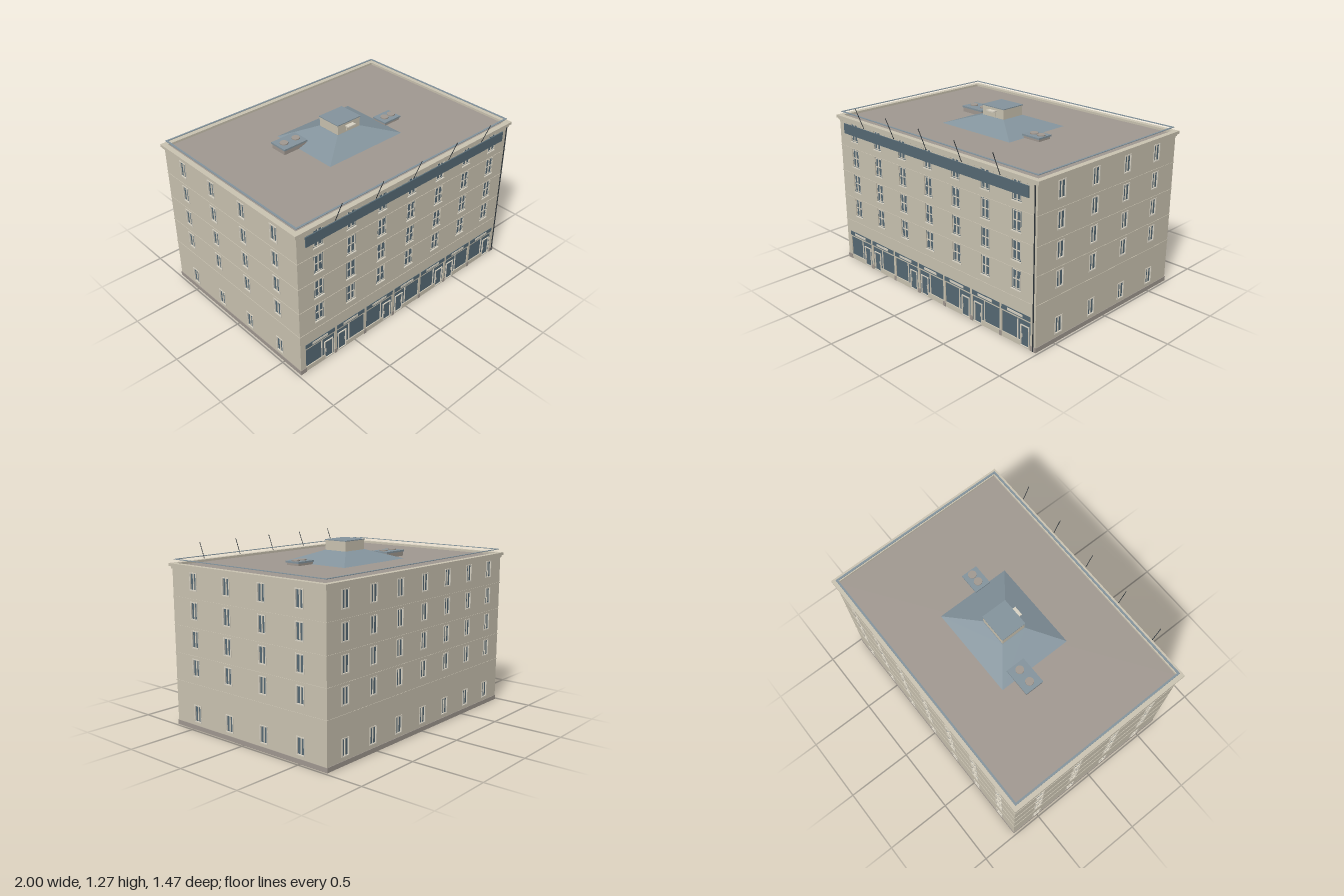
import * as THREE from 'three';

const mat = (name, color, side = THREE.FrontSide) => {
  const m = new THREE.MeshStandardMaterial({ color, side });
  m.name = name;
  return m;
};

export function createModel() {
  const stone = mat('stone', 0xcbc4b2);
  const trim = mat('window trim', 0xd9d3c4);
  const glass = mat('glass', 0x566a75);
  const slate = mat('roof metal', 0x84949d);
  const base = mat('roof and plinth', 0xa19991);
  const dark = mat('dark metal', 0x30373c);

  const model = new THREE.Group();
  model.name = 'building';

  // Box given by its extents on each axis
  const box = (parent, name, m, x0, x1, y0, y1, z0, z1) => {
    const mesh = new THREE.Mesh(new THREE.BoxGeometry(x1 - x0, y1 - y0, z1 - z0), m);
    mesh.position.set((x0 + x1) / 2, (y0 + y1) / 2, (z0 + z1) / 2);
    mesh.name = name;
    parent.add(mesh);
    return mesh;
  };

  const X = 0.98, FRONT = 0.667, BACK = -0.72, MIDZ = (FRONT + BACK) / 2;
  const DEPTH = FRONT - BACK, TOP = 1.12, THICK = 0.012;

  const rectPath = (P, x0, x1, y0, y1) => {
    const p = new P();
    p.moveTo(x0, y0).lineTo(x1, y0).lineTo(x1, y1).lineTo(x0, y1).closePath();
    return p;
  };

  // Thin wall with openings; the outer face lies at local z = 0
  const makeWall = (name, width, holes) => {
    const g = new THREE.Group();
    g.name = name;
    const shape = rectPath(THREE.Shape, -width / 2, width / 2, 0, TOP);
    holes.forEach(h => shape.holes.push(rectPath(THREE.Path, ...h)));
    const geo = new THREE.ExtrudeGeometry(shape, { depth: THICK, bevelEnabled: false });
    geo.translate(0, 0, -THICK);
    const mesh = new THREE.Mesh(geo, stone);
    mesh.name = name + 'Panel';
    g.add(mesh);
    model.add(g);
    return g;
  };

  // Raised border around an opening
  const border = (g, name, m, x0, x1, y0, y1, t, z0, z1) => {
    box(g, name, m, x0, x0 + t, y0, y1, z0, z1);
    box(g, name, m, x1 - t, x1, y0, y1, z0, z1);
    box(g, name, m, x0 + t, x1 - t, y0, y0 + t, z0, z1);
    box(g, name, m, x0 + t, x1 - t, y1 - t, y1, z0, z1);
  };

  const addWindow = (g, [x0, x1, y0, y1], isFront) => {
    const cx = (x0 + x1) / 2;
    box(g, 'windowGlass', glass, x0, x1, y0, y1, -0.011, -0.006);
    box(g, 'windowMullion', trim, cx - 0.004, cx + 0.004, y0, y1, -0.006, -0.001);
    if (isFront) {
      const cy = y0 + (y1 - y0) * 0.5;
      box(g, 'windowTransom', trim, x0 + 0.008, x1 - 0.008, cy - 0.003, cy + 0.003, -0.006, -0.002);
      border(g, 'windowSash', trim, x0 + 0.007, x1 - 0.007, y0 + 0.007, y1 - 0.007, 0.003, -0.006, -0.002);
      box(g, 'windowSill', trim, x0 - 0.004, x1 + 0.004, y0 - 0.006, y0, -0.01, 0.005);
    } else {
      border(g, 'windowSurround', trim, x0 - 0.006, x1 + 0.006, y0 - 0.006, y1 + 0.006, 0.007, -0.006, 0.004);
    }
  };

  const addCourses = (g, width) => [0.32, 0.517, 0.711, 0.908].forEach(y =>
    box(g, 'stringCourse', stone, -width / 2 - 0.003, width / 2 + 0.003, y, y + 0.006, 0, 0.003));

  const columns = [-3, -2, -1, 0, 1, 2, 3].map(i => i * 0.2705);
  const sideColumns = [-1.5, -0.5, 0.5, 1.5].map(i => i * 0.3205);

  // Back and side walls: five rows of narrow windows
  const plainRows = [0.061, 0.385, 0.581, 0.777, 0.974];
  const plainWall = (name, width, cols) => {
    const holes = [];
    for (const y of plainRows) for (const x of cols) holes.push([x - 0.029, x + 0.029, y, y + 0.111]);
    const g = makeWall(name, width, holes);
    holes.forEach(h => addWindow(g, h, false));
    addCourses(g, width);
    box(g, 'plinth', base, -width / 2 - 0.003, width / 2 + 0.003, 0, 0.032, 0, 0.004);
    return g;
  };
  const back = plainWall('backWall', 2 * X, columns);
  back.position.z = BACK;
  back.rotation.y = Math.PI;
  for (const s of [-1, 1]) {
    const side = plainWall(s > 0 ? 'leftWall' : 'rightWall', DEPTH, sideColumns);
    side.position.set(s * X, 0, MIDZ);
    side.rotation.y = s * Math.PI / 2;
  }

  // Front wall: four rows of wide windows above seven shop bays
  const frontWindows = [], bays = [];
  for (const x of columns) {
    for (const y of [0.379, 0.574, 0.769, 0.965]) frontWindows.push([x - 0.039, x + 0.039, y, y + 0.139]);
    bays.push([x - 0.125, x + 0.125, 0.004, 0.232]);
  }
  const front = makeWall('frontWall', 2 * X, [...frontWindows, ...bays]);
  front.position.z = FRONT;
  frontWindows.forEach(h => addWindow(front, h, true));
  addCourses(front, 2 * X);

  bays.forEach(([x0, x1, , y1], i) => {
    const shop = new THREE.Group();
    shop.name = 'shopfront';
    front.add(shop);
    const cx = (x0 + x1) / 2, s = i % 2 ? -1 : 1;
    box(shop, 'shopGlass', glass, x0, x1, 0.004, y1, -0.011, -0.007);
    // Fascia with a blank sign plate
    box(shop, 'fascia', glass, x0, x1, 0.2, y1, -0.007, 0.003);
    box(shop, 'signPlate', trim, cx - 0.07, cx + 0.062, 0.208, 0.225, 0.003, 0.006);
    box(shop, 'fasciaRail', stone, x0, x1, 0.19, 0.2, -0.007, 0.002);
    // Stall riser, mullions and framed door
    const a = s > 0 ? x0 : x0 + 0.085, b = s > 0 ? x1 - 0.085 : x1;
    box(shop, 'stallRiser', stone, a, b, 0, 0.036, -0.007, 0);
    const m = cx + s * 0.015;
    box(shop, 'shopMullion', trim, m - 0.003, m + 0.003, 0.036, 0.19, -0.007, -0.001);
    const d = cx + s * 0.075;
    border(shop, 'doorFrame', trim, d - 0.037, d + 0.037, 0.002, 0.152, 0.006, -0.007, 0);
    box(shop, 'doorHandle', trim, d - s * 0.026 - 0.002, d - s * 0.026 + 0.002, 0.06, 0.085, -0.007, 0.001);
  });
  // Pier bases between the bays
  for (let i = 0; i < 8; i++) {
    const x = (i - 3.5) * 0.2705, edge = i === 0 ? -1 : i === 7 ? 1 : 0;
    box(front, 'pierBase', base, edge < 0 ? -X : x - 0.011, edge > 0 ? X : x + 0.011, 0, 0.035, 0, 0.004);
  }

  // Long banner board, drainpipe and leaning poles
  box(front, 'bannerBoard', glass, -0.918, 0.916, 1.014, 1.088, 0.004, 0.012);
  const rod = (name, from, to, r) => {
    const v = new THREE.Vector3().subVectors(to, from);
    const mesh = new THREE.Mesh(new THREE.CylinderGeometry(r, r, v.length(), 8), dark);
    mesh.position.copy(from).addScaledVector(v, 0.5);
    mesh.quaternion.setFromUnitVectors(new THREE.Vector3(0, 1, 0), v.normalize());
    mesh.name = name;
    model.add(mesh);
  };
  rod('drainpipe', new THREE.Vector3(0.963, 0.005, 0.672), new THREE.Vector3(0.963, 1.105, 0.672), 0.004);
  for (let i = -2; i <= 2; i++)
    rod('flagpole', new THREE.Vector3(i * 0.34, 1.095, 0.674), new THREE.Vector3(i * 0.34, 1.25, 0.735), 0.0025);

  // Horizontal rectangular ring around the roof edge
  const ring = (name, m, hx, hz, w, y0, y1) => {
    const shape = rectPath(THREE.Shape, -hx, hx, -hz, hz);
    shape.holes.push(rectPath(THREE.Path, -hx + w, hx - w, -hz + w, hz - w));
    const geo = new THREE.ExtrudeGeometry(shape, { depth: y1 - y0, bevelEnabled: false });
    geo.rotateX(-Math.PI / 2);
    const mesh = new THREE.Mesh(geo, m);
    mesh.position.set(0, y0, MIDZ);
    mesh.name = name;
    model.add(mesh);
  };
  const HZ = DEPTH / 2;
  ring('lowerCornice', stone, X + 0.008, HZ + 0.006, 0.012, 1.102, 1.118);
  ring('upperCornice', stone, X + 0.02, HZ + 0.016, 0.038, 1.118, 1.138);
  ring('roofRail', slate, X - 0.008, HZ - 0.008, 0.014, 1.161, 1.165);
  for (let i = -17; i <= 17; i++)
    box(front, 'corniceBlock', stone, i * 0.056 - 0.004, i * 0.056 + 0.004, 1.096, 1.102, 0, 0.006);

  // Flat roof
  box(model, 'roof', base, -X + 0.012, X - 0.012, 1.112, 1.122, BACK + 0.012, FRONT - 0.012);

  // Sloped skylight base: box with its top face pulled in
  const hipGeo = new THREE.BoxGeometry(1, 1, 1).toNonIndexed();
  const p = hipGeo.attributes.position;
  for (let i = 0; i < p.count; i++) {
    const up = p.getY(i) > 0, right = p.getX(i) > 0, near = p.getZ(i) > 0;
    p.setXYZ(i, (right ? 1 : -1) * (up ? 0.105 : 0.335), up ? 1.195 : 1.121,
      near ? (up ? 0.065 : 0.243) : (up ? -0.125 : -0.307));
  }
  hipGeo.computeVertexNormals();
  const hip = new THREE.Mesh(hipGeo, slate);
  hip.name = 'slopedRoof';
  model.add(hip);

  // Rooftop turret with cap and hood
  box(model, 'turret', stone, -0.102, 0.102, 1.19, 1.264, -0.121, 0.062);
  box(model, 'turretCap', slate, -0.106, 0.106, 1.264, 1.27, -0.125, 0.066);
  box(model, 'turretHood', trim, -0.035, 0.035, 1.238, 1.246, 0.062, 0.095);
  box(model, 'turretVent', stone, -0.025, 0.025, 1.205, 1.238, 0.062, 0.07);

  // Rooftop ventilation units with round fans
  const unit = (x0, x1, z0, z1, top, fans, fz) => {
    box(model, 'ventBody', base, x0 + 0.005, x1 - 0.005, 1.12, top - 0.008, z0 + 0.005, z1 - 0.005);
    box(model, 'ventLid', slate, x0, x1, top - 0.012, top, z0, z1);
    for (const fx of fans) {
      const fan = new THREE.Mesh(new THREE.CylinderGeometry(0.029, 0.029, 0.008, 20), base);
      fan.position.set(fx, top + 0.004, fz);
      fan.name = 'ventFan';
      model.add(fan);
    }
  };
  unit(-0.46, -0.257, -0.21, -0.07, 1.166, [-0.406, -0.305], -0.14);
  unit(0.315, 0.468, -0.02, 0.1, 1.15, [0.368, 0.432], 0.04);

  return model;
}
